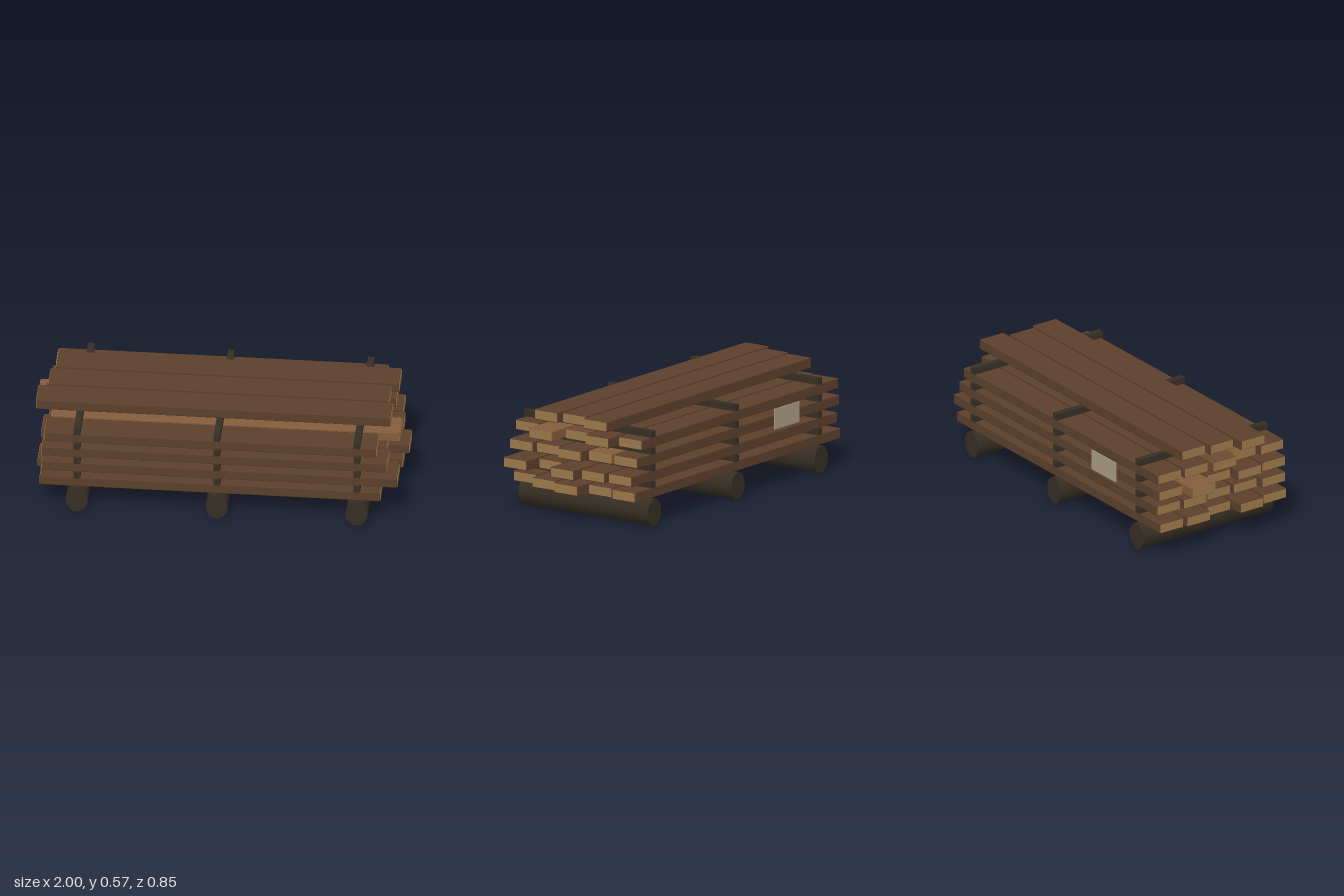
import * as THREE from 'three';
import { RoundedBoxGeometry } from 'three/addons/geometries/RoundedBoxGeometry.js';

const mat = (name, color) => {
  const m = new THREE.MeshStandardMaterial({ color });
  m.name = name;
  return m;
};

export function createModel() {
  const root = new THREE.Group();
  root.name = 'lumberStack';

  const wood = mat('brown wood', 0x5b3f2b);
  const midWood = mat('warm brown wood', 0x6c4a31);
  const paleWood = mat('pale brown wood', 0x835c3c);
  const endGrain = mat('end grain', 0x9b784a);
  const darkWood = mat('dark wood', 0x362e24);
  const paper = mat('tag paper', 0xa89c80);

  const add = (parent, geometry, material, name, x, y, z) => {
    const mesh = new THREE.Mesh(geometry, material);
    mesh.name = name;
    mesh.position.set(x, y, z);
    parent.add(mesh);
    return mesh;
  };

  const supportX = [-0.745, 0, 0.745];
  const thick = 0.056, width = 0.154, pitch = 0.0917, firstY = 0.177;

  // Round bearer logs, slightly taller than wide
  const logGeo = new THREE.CylinderGeometry(0.0735, 0.0735, 0.854, 28);
  logGeo.rotateX(Math.PI / 2);
  logGeo.scale(0.8, 1, 1);
  for (const x of supportX) add(root, logGeo, darkWood, 'bearerLog', x, 0.0735, 0);

  // Plank with its two thin end grain plates
  const capGeo = new THREE.BoxGeometry(0.004, thick - 0.009, width - 0.009);
  const plank = (x0, x1, y, z, material) => {
    const g = new THREE.Group();
    g.name = 'plank';
    g.position.set((x0 + x1) / 2, y, z);
    const len = x1 - x0 - 0.004;
    add(g, new RoundedBoxGeometry(len, thick, width, 1, 0.005), material, 'plankBody', 0, 0, 0);
    for (const s of [-1, 1]) add(g, capGeo, endGrain, 'plankEnd', s * len / 2, 0, 0);
    root.add(g);
  };

  // Left and right ends of the planks, per layer, from the front row to the back row
  const layers = [
    [[-0.945, 0.87], [-0.97, 0.93], [-0.90, 0.96], [-0.95, 0.88], [-0.94, 0.90]],
    [[-0.935, 0.96], [-0.91, 0.87], [-0.90, 0.995], [-0.92, 0.945], [-0.91, 0.93]],
    [[-0.935, 0.905], [-0.95, 0.89], [-0.90, 0.93], [-1.0, 0.88], [-0.93, 0.88]],
    [[-0.92, 0.85], [-0.90, 0.96], [-0.955, 0.86], [-0.93, 0.91], [-0.92, 0.84]],
    [null, [-0.98, 0.91], [-0.93, 0.885], [-0.905, 0.925], null],
  ];
  const special = { '3,1': paleWood, '2,3': paleWood, '3,2': midWood };
  layers.forEach((row, i) => row.forEach((ends, j) => {
    if (ends) plank(ends[0], ends[1], firstY + i * pitch, (2 - j) * 0.1675, special[`${i},${j}`] || wood);
  }));

  // Spacer sticks between the layers
  const stickGeo = new THREE.BoxGeometry(0.035, pitch - thick, 0.84);
  for (let i = 0; i < 4; i++)
    for (const x of supportX) add(root, stickGeo, darkWood, 'spacerStick', x, firstY + (i + 0.5) * pitch, 0);

  // Paper tag on the back
  add(root, new THREE.BoxGeometry(0.22, 0.112, 0.005), paper, 'tag', -0.445, 0.37, -0.4215);

  return root;
}
